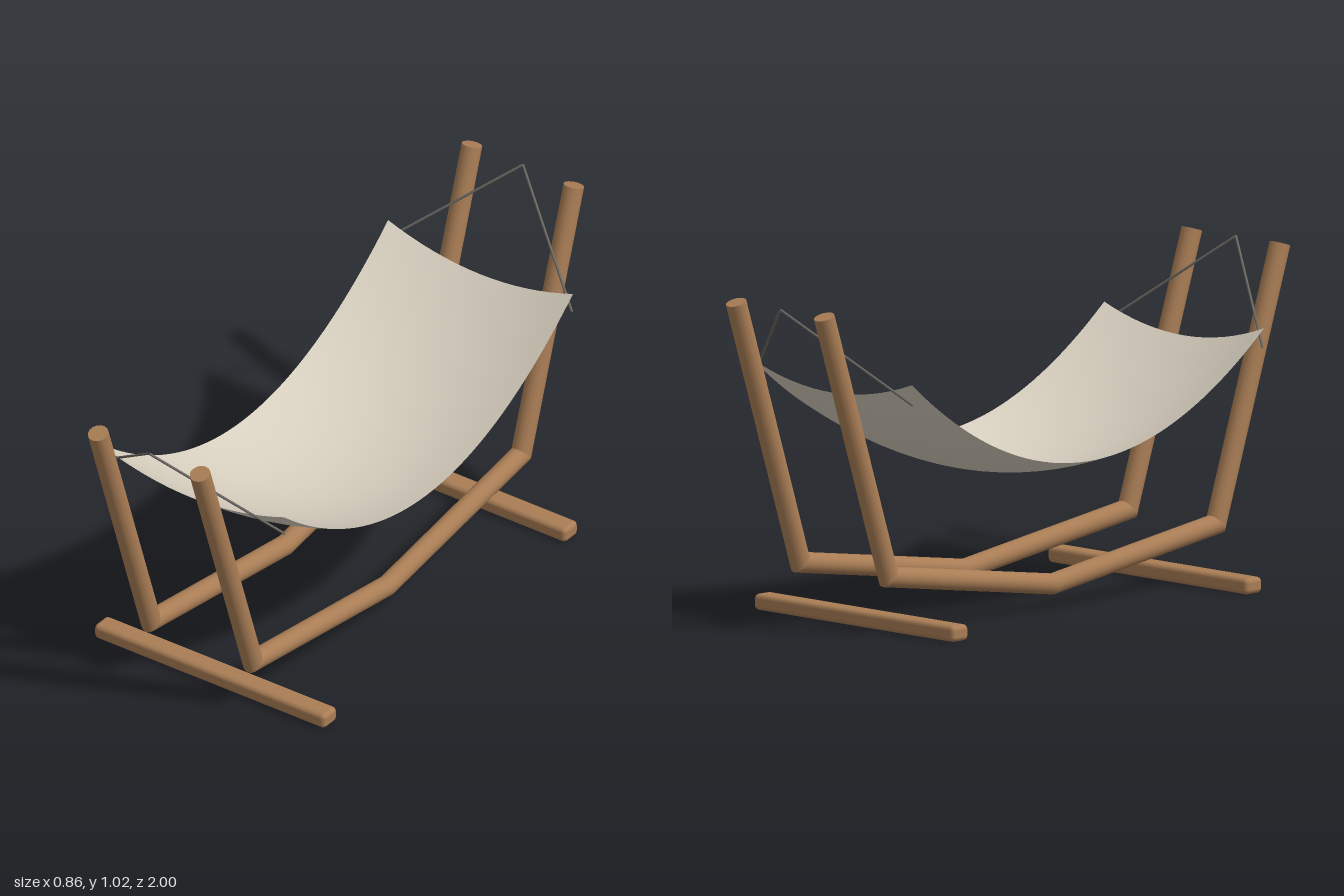
import * as THREE from 'three';
import { RoundedBoxGeometry } from 'three/addons/geometries/RoundedBoxGeometry.js';

const mat = (name, color, opts = {}) => {
  const m = new THREE.MeshStandardMaterial({ color, ...opts });
  m.name = name;
  return m;
};

// Straight bar of a bent pole in the yz plane; its ends are sheared to meet in a mitre.
function mitredBar(a, b, radius, angle, startAngle, endAngle) {
  const length = a.distanceTo(b);
  const g = new THREE.CylinderGeometry(radius, radius, length, 16);
  const p = g.attributes.position;
  for (let i = 0; i < p.count; i++) {
    const joint = p.getY(i) > 0 ? endAngle : startAngle;
    p.setY(i, p.getY(i) - p.getZ(i) * Math.tan(joint - angle));
  }
  g.rotateX(angle);
  g.translate((a.x + b.x) / 2, (a.y + b.y) / 2, (a.z + b.z) / 2);
  return g;
}

export function createModel() {
  const group = new THREE.Group();
  group.name = 'hammockChair';
  const wood = mat('wood', 0xa97d55);
  const canvas = mat('canvas', 0xd8d0c0, { side: THREE.DoubleSide });
  const cord = mat('cord', 0x6a6862);

  const add = (parent, name, geometry, material) => {
    const mesh = new THREE.Mesh(geometry, material);
    mesh.name = name;
    parent.add(mesh);
    return mesh;
  };

  // Two bent side poles
  for (const [side, x] of [['left', 0.19], ['right', -0.19]]) {
    const pole = new THREE.Group();
    pole.name = side + 'Pole';
    group.add(pole);
    const pts = [[1.01, 0.97], [0.18, 0.697], [0.077, 0], [0.18, -0.697], [1.01, -0.97]]
      .map(([y, z]) => new THREE.Vector3(x, y, z));
    const names = ['frontUpright', 'frontBase', 'rearBase', 'rearUpright'];
    const angles = names.map((_, i) => Math.atan2(pts[i + 1].z - pts[i].z, pts[i + 1].y - pts[i].y));
    names.forEach((name, i) => {
      const before = ((angles[i - 1] ?? angles[i]) + angles[i]) / 2;
      const after = ((angles[i + 1] ?? angles[i]) + angles[i]) / 2;
      add(pole, name, mitredBar(pts[i], pts[i + 1], 0.032, angles[i], before, after), wood);
    });
  }

  // Floor bars across the front and rear
  for (const [name, z] of [['frontFloorBar', 0.625], ['rearFloorBar', -0.625]]) {
    add(group, name, new RoundedBoxGeometry(0.862, 0.05, 0.07, 3, 0.015), wood)
      .position.set(0, 0.026, z);
  }

  // Sagging cloth, curved along and across
  const cloth = new THREE.PlaneGeometry(0.69, 1.5, 16, 40).rotateX(-Math.PI / 2);
  const p = cloth.attributes.position;
  for (let i = 0; i < p.count; i++) {
    const u = p.getX(i) / 0.345, v = p.getZ(i) / 0.75;
    p.setY(i, 0.409 + 0.063 * u * u + 0.321 * v * v);
  }
  cloth.computeVertexNormals();
  add(group, 'cloth', cloth, canvas);

  // Cords from each cloth corner up to the middle of each end
  for (const s of [1, -1]) {
    const apex = new THREE.Vector3(0, 1.01, 0.97 * s);
    for (const x of [0.345, -0.345]) {
      const path = new THREE.LineCurve3(new THREE.Vector3(x, 0.73, 0.745 * s), apex);
      add(group, (s > 0 ? 'front' : 'rear') + (x > 0 ? 'Left' : 'Right') + 'Cord',
        new THREE.TubeGeometry(path, 1, 0.004, 8), cord);
    }
  }
  return group;
}
